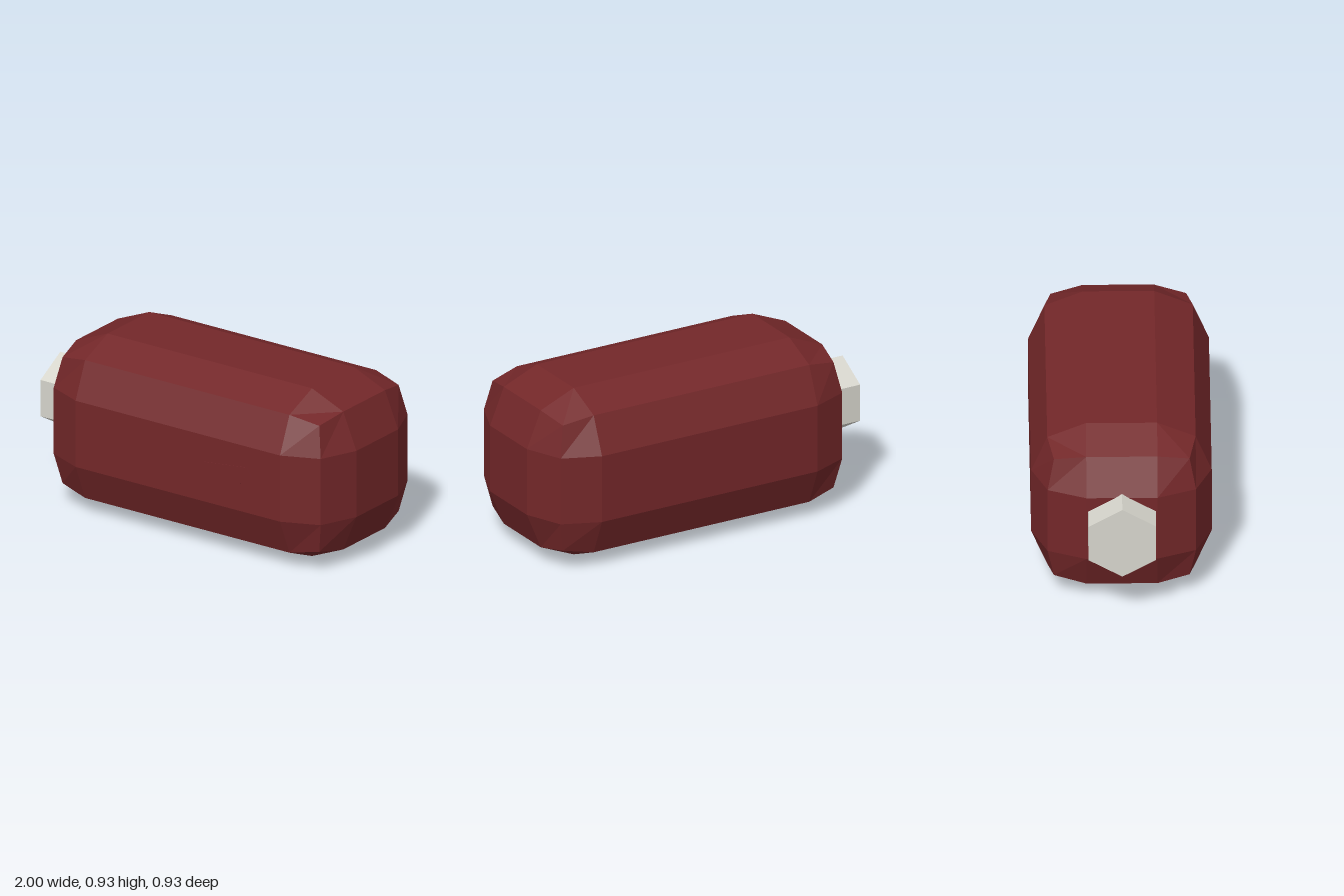
import * as THREE from 'three';

const bodyRed = new THREE.MeshStandardMaterial({ color: 0x732729 });
bodyRed.name = 'dark red';
const stubGrey = new THREE.MeshStandardMaterial({ color: 0xd6d5cc });
stubGrey.name = 'pale grey';

const CENTER = new THREE.Vector3(0.075, 0.4625, -0.03);

function flat(geometry) {
  const g = geometry.index ? geometry.toNonIndexed() : geometry;
  g.computeVertexNormals();
  return g;
}

// Box with a 3x3 grid per side; edges and corners are pulled in for a chunky rounding
function chunkyBox(half, margin) {
  const g = new THREE.BoxGeometry(2, 2, 2, 3, 3, 3);
  const p = g.attributes.position;
  const inset = [0, 0, 0.0825, 0.115];
  for (let i = 0; i < p.count; i++) {
    const v = [p.getX(i), p.getY(i), p.getZ(i)];
    const outer = v.filter((c) => Math.abs(c) > 0.9).length;
    const moved = v.map((c, k) =>
      Math.sign(c) * (half[k] - (Math.abs(c) > 0.9 ? inset[outer] : margin)));
    p.setXYZ(i, ...moved);
  }
  return flat(g);
}

export function createModel() {
  const group = new THREE.Group();
  const add = (name, geometry, material, x, y, z) => {
    const mesh = new THREE.Mesh(geometry, material);
    mesh.name = name;
    mesh.position.set(x, y, z);
    group.add(mesh);
    return mesh;
  };

  // Main block
  add('body', chunkyBox([0.925, 0.4625, 0.4625], 0.28), bodyRed, CENTER.x, CENTER.y, CENTER.z);

  // Hexagonal stub on the right end, points up and down
  const stub = flat(new THREE.CylinderGeometry(0.2, 0.2, 0.25, 6, 1, false, Math.PI / 2));
  stub.rotateZ(Math.PI / 2);
  add('endStub', stub, stubGrey, -0.875, 0.465, CENTER.z);

  // Small irregular patch on the front
  const outline = [[0.22, 0.43], [0.33, 0.39], [0.46, 0.425], [0.54, 0.485], [0.51, 0.53], [0.245, 0.5]];
  const patch = new THREE.ExtrudeGeometry(
    new THREE.Shape(outline.map(([x, y]) => new THREE.Vector2(x, y))),
    { depth: 0.006, bevelEnabled: false });
  add('frontPatch', patch, bodyRed, 0, 0, 0.429);

  return group;
}
